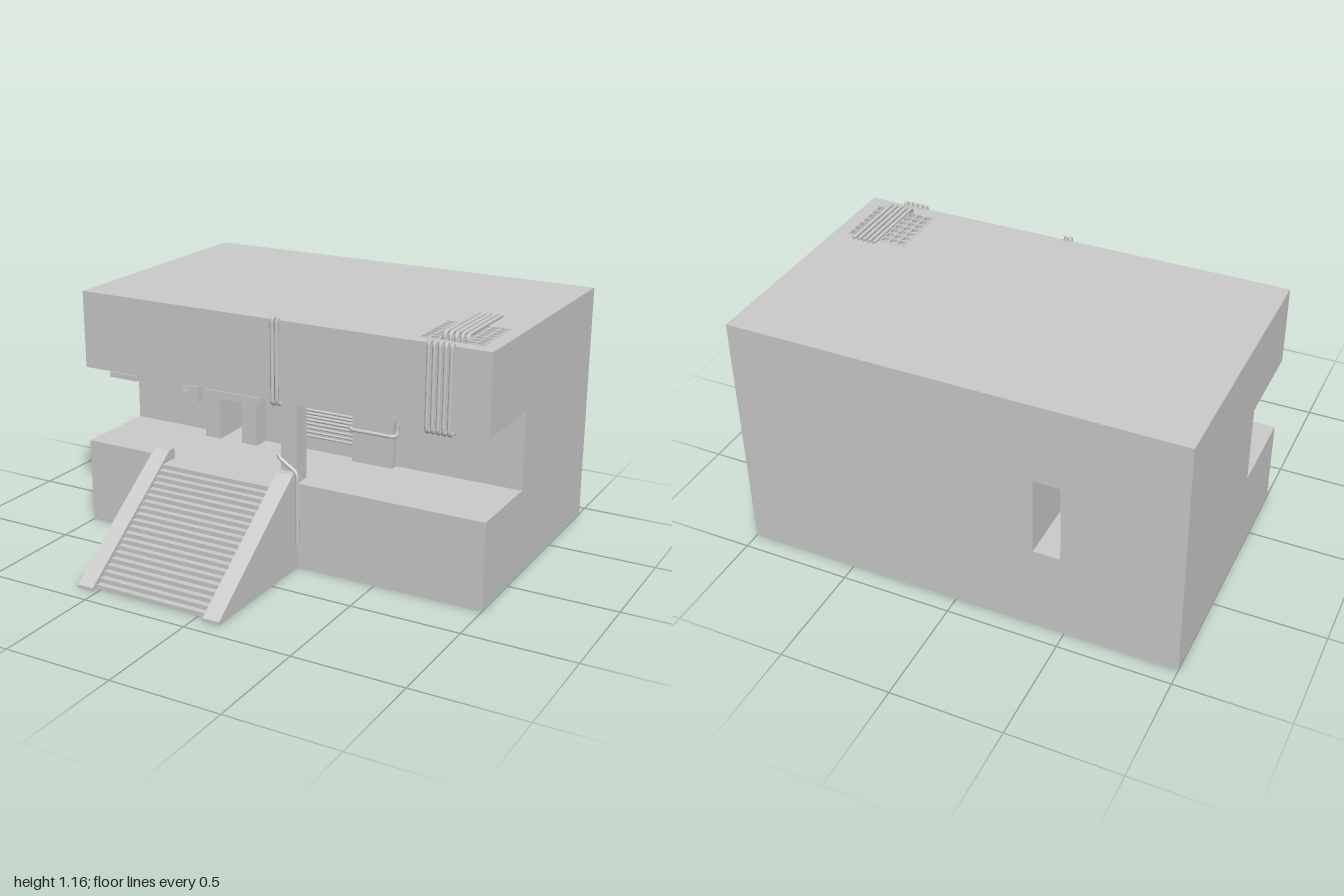
import * as THREE from 'three';

const grey = new THREE.MeshStandardMaterial({ color: 0xcccccc, flatShading: true });
const pipeGrey = new THREE.MeshStandardMaterial({ color: 0xcccccc, side: THREE.DoubleSide });

export function createModel() {
  const model = new THREE.Group();

  const add = (name, geometry, material = grey) => {
    const mesh = new THREE.Mesh(geometry, material);
    mesh.name = name;
    model.add(mesh);
    return mesh;
  };

  // box given by its extents on each axis
  const box = (name, x0, x1, y0, y1, z0, z1) => {
    const mesh = add(name, new THREE.BoxGeometry(x1 - x0, y1 - y0, z1 - z0));
    mesh.position.set((x0 + x1) / 2, (y0 + y1) / 2, (z0 + z1) / 2);
    return mesh;
  };

  // side profile of [z, y] points, extruded across x
  const sideExtrude = (name, points, x0, x1) => {
    const shape = new THREE.Shape(points.map(([z, y]) => new THREE.Vector2(-z, y)));
    const geometry = new THREE.ExtrudeGeometry(shape, { depth: x1 - x0, bevelEnabled: false });
    geometry.rotateY(Math.PI / 2).translate(x0, 0, 0);
    return add(name, geometry);
  };

  // pipe through corner points, with rounded bends and capped ends
  const pipe = (name, corners, r = 0.009, bend = 0.022) => {
    const pts = corners.map((c) => new THREE.Vector3(...c));
    const path = new THREE.CurvePath();
    let from = pts[0];
    for (let i = 1; i < pts.length - 1; i++) {
      const toward = (q) => {
        const d = q.clone().sub(pts[i]);
        return pts[i].clone().addScaledVector(d.clone().normalize(), Math.min(bend, d.length() * 0.45));
      };
      const a = toward(pts[i - 1]);
      const b = toward(pts[i + 1]);
      path.add(new THREE.LineCurve3(from, a));
      path.add(new THREE.QuadraticBezierCurve3(a, pts[i], b));
      from = b;
    }
    path.add(new THREE.LineCurve3(from, pts[pts.length - 1]));
    add(name, new THREE.TubeGeometry(path, 70, r, 8, false), pipeGrey);
    for (const t of [0, 1]) {
      const cap = add(name + 'Cap', new THREE.CircleGeometry(r, 8), pipeGrey);
      const p = path.getPoint(t);
      cap.position.copy(p);
      cap.lookAt(p.clone().addScaledVector(path.getTangent(t), t ? 1 : -1));
    }
  };

  // main block: base, recessed storey split by a passage, overhanging top
  box('base', -1, 1, 0, 0.4, -0.92, 0.28);
  box('middleStoreyRight', -1, -0.48, 0.4, 0.76, -0.92, -0.12);
  box('middleStoreyLeft', -0.36, 1, 0.4, 0.76, -0.92, -0.12);
  box('upperStorey', -1, 1, 0.76, 1.06, -0.92, 0.28);

  // roof layer with a vent opening (shape y is -z)
  const rect = (T, x0, x1, z0, z1) =>
    new T([[x0, -z1], [x1, -z1], [x1, -z0], [x0, -z0]].map((p) => new THREE.Vector2(...p)));
  const vent = { x0: 0.655, x1: 0.935, z0: -0.065, z1: 0.215 };
  const roof = rect(THREE.Shape, -1, 1, -0.92, 0.28);
  roof.holes.push(rect(THREE.Path, vent.x0, vent.x1, vent.z0, vent.z1));
  const roofGeometry = new THREE.ExtrudeGeometry(roof, { depth: 0.06, bevelEnabled: false });
  add('roof', roofGeometry.rotateX(-Math.PI / 2).translate(0, 1.06, 0));

  // vent grating
  for (let i = 0; i <= 7; i++) {
    const x = vent.x0 + i * 0.04;
    const z = vent.z0 + i * 0.04;
    box('gratingBar', x - 0.004, x + 0.004, 1.105, 1.122, vent.z0, vent.z1);
    box('gratingBar', vent.x0, vent.x1, 1.105, 1.122, z - 0.004, z + 0.004);
  }

  // door jambs, wall cabinet and porch pillar
  box('doorJamb', -0.56, -0.48, 0.4, 0.76, -0.12, -0.04);
  box('doorJamb', -0.36, -0.28, 0.4, 0.76, -0.12, -0.04);
  box('wallCabinet', 0.2, 0.4, 0.4, 0.76, -0.12, -0.08);
  box('pillar', 0.04, 0.12, 0.4, 0.76, 0.2, 0.28);

  // fittings hung under the overhang
  box('longLamp', -0.36, -0.08, 0.715, 0.75, 0.22, 0.26);
  box('shortLamp', -0.88, -0.73, 0.725, 0.75, 0.22, 0.26);
  box('hangingBox', -0.45, -0.4, 0.675, 0.75, 0.22, 0.26);
  box('tiltedBox', -0.515, -0.48, 0.71, 0.755, 0.22, 0.26).rotation.z = 0.2;

  // staircase
  const steps = 20;
  const run = 0.027;
  const rise = 0.4 / steps;
  const profile = [[0.28, 0]];
  for (let i = 0; i < steps; i++) {
    const z = 0.89 - i * run;
    profile.push([z, i * rise], [z, (i + 1) * rise]);
  }
  profile.push([0.28, 0.4]);
  sideExtrude('stairs', profile, -0.52, 0.04);
  const stringer = [[0.28, 0], [0.92, 0], [0.92, 0.015], [0.32, 0.45], [0.28, 0.45]];
  sideExtrude('stairSide', stringer, -0.6, -0.52);
  sideExtrude('stairSide', stringer, 0.04, 0.12);

  // bundle of pipes over the roof edge, down the front and under the overhang
  for (let i = 0; i < 5; i++) {
    const x = 0.73 + i * 0.025;
    pipe('facadePipe', [[x, 1.1, 0.272], [x, 1.128, 0.272], [x, 1.128, 0.292], [x, 0.745, 0.292],
      [x, 0.745, 0.2], [x + 0.03, 0.745, 0.16], [x + 0.03, 0.77, 0.15]]);
    const rx = 0.762 + i * 0.025;
    pipe('roofPipe', [[rx, 1.09, 0.21], [rx, 1.152, 0.21], [rx, 1.152, -0.14]]);
  }

  // pair of pipes near the pillar; one carries on around it and down the side
  pipe('centrePipe', [[0.005, 1.1, 0.272], [0.005, 1.128, 0.272], [0.005, 1.128, 0.292],
    [0.005, 0.745, 0.292], [0.005, 0.745, 0.16], [0.005, 0.77, 0.15]]);
  pipe('centrePipe', [[0.027, 1.1, 0.272], [0.027, 1.128, 0.272], [0.027, 1.128, 0.292],
    [0.027, 0.745, 0.292], [0.027, 0.745, 0.19], [0.027, 0.53, 0.19],
    [0.027, 0.515, 0.292], [0.13, 0.455, 0.297], [0.13, 0.12, 0.297]]);

  // nested pipes on the recessed wall
  for (let i = 0; i < 4; i++) {
    const x = -0.157 + i * 0.016;
    const y = 0.595 - i * 0.016;
    pipe('wallPipe', [[x, 0.39, -0.112], [x, y, -0.112], [0.205, y, -0.112]], 0.007, 0.012);
    const y2 = 0.53 - i * 0.02;
    pipe('wallRail', [[-0.108, y2, -0.112], [0.205, y2, -0.112]], 0.006);
  }

  // pipe wrapping the cabinet
  pipe('cabinetPipe', [[0.41, 0.77, -0.105], [0.41, 0.555, -0.105], [0.41, 0.555, -0.069],
    [0.19, 0.555, -0.069], [0.19, 0.555, -0.12]]);

  return model;
}
